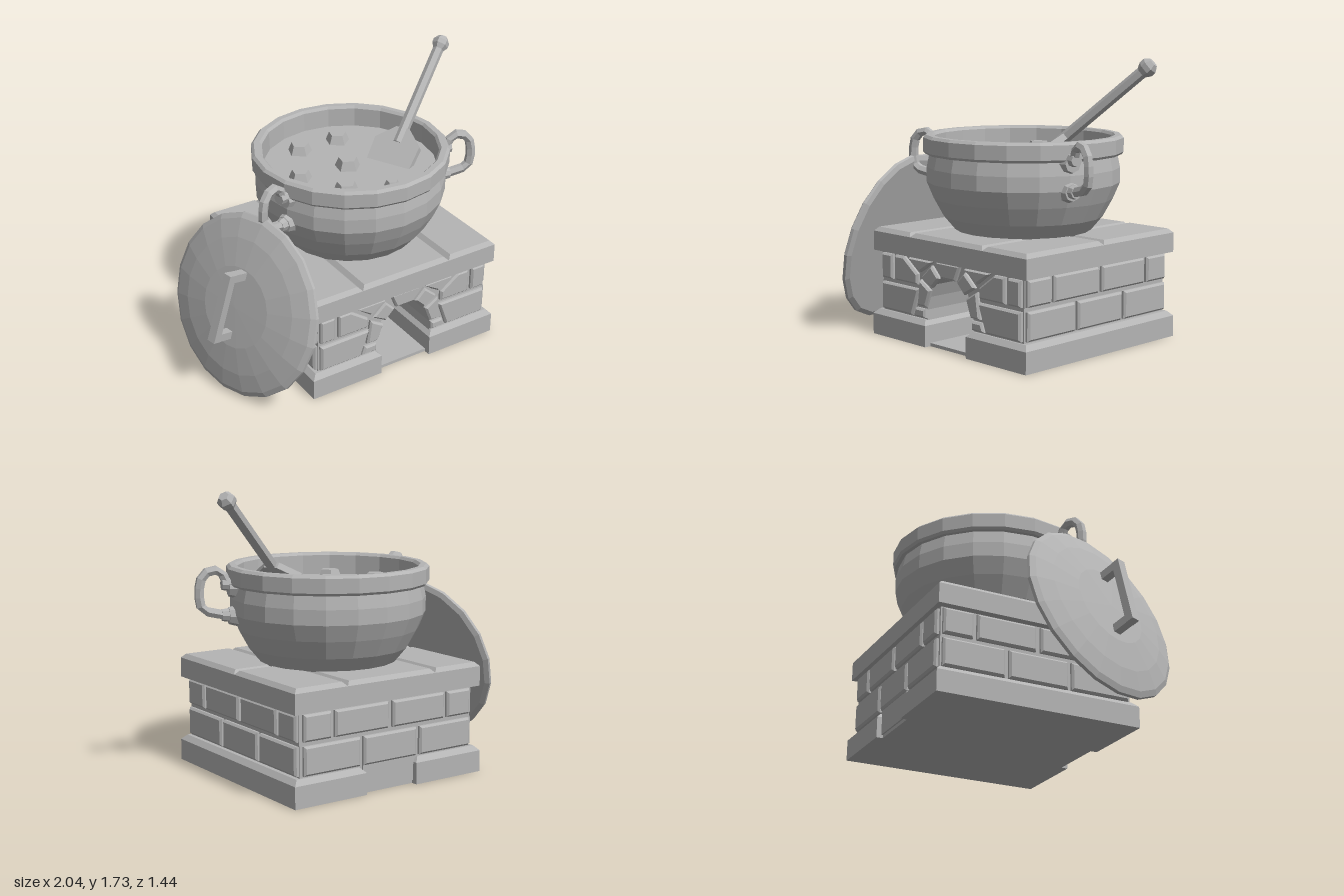
import * as THREE from 'three';

const CX = 0.155, CZ = -0.075; // axis of the oven and pot

export function createModel() {
  const model = new THREE.Group();
  const grey = new THREE.MeshStandardMaterial({ color: 0xb4b4b4 });
  grey.name = 'stone grey';

  // every part is faceted: split faces so each has its own normal
  function add(parent, name, geometry, x = 0, y = 0, z = 0) {
    const g = geometry.index ? geometry.toNonIndexed() : geometry;
    g.computeVertexNormals();
    const mesh = new THREE.Mesh(g, grey);
    mesh.name = name;
    mesh.position.set(x, y, z);
    parent.add(mesh);
    return mesh;
  }
  function group(parent, name, x = 0, y = 0, z = 0) {
    const g = new THREE.Group();
    g.name = name;
    g.position.set(x, y, z);
    parent.add(g);
    return g;
  }
  // block given by its extents, chamfered around the top
  function block(name, x0, x1, y0, y1, z0, z1, c = 0) {
    const w = x1 - x0, h = y1 - y0, d = z1 - z0;
    const geo = new THREE.BoxGeometry(w, h, d, 1, 2, 1);
    const p = geo.attributes.position;
    for (let i = 0; i < p.count; i++) {
      if (Math.abs(p.getY(i)) < 1e-6) p.setY(i, h / 2 - c);
      else if (p.getY(i) > 0) {
        p.setX(i, p.getX(i) - Math.sign(p.getX(i)) * c);
        p.setZ(i, p.getZ(i) - Math.sign(p.getZ(i)) * c);
      }
    }
    return add(model, name, geo, (x0 + x1) / 2, (y0 + y1) / 2, (z0 + z1) / 2);
  }
  const shapeOf = pts => new THREE.Shape(pts.map(p => new THREE.Vector2(p[0], p[1])));
  // bevelled stone standing out of a wall
  function stone(parent, name, pts) {
    add(parent, name, new THREE.ExtrudeGeometry(shapeOf(pts), {
      depth: 0.014, bevelEnabled: true, bevelThickness: 0.012,
      bevelSize: 0.012, bevelOffset: -0.012, bevelSegments: 1,
    }));
  }
  const rect = (a, b, c, d) => [[a, c], [b, c], [b, d], [a, d]];

  // footing and floor
  block('leftFooting', 0.335, 0.825, 0, 0.16, -0.72, 0.572, 0.03);
  block('rightFooting', -0.515, -0.025, 0, 0.16, -0.72, 0.572, 0.03);
  block('hearthFloor', -0.03, 0.34, 0, 0.02, -0.68, 0.53);

  // oven body with arched fire chamber
  const half = [[0.615, 0.1], [0.615, 0.54]];
  const arch = [[0.085, 0.43], [0.15, 0.38], [0.185, 0.3], [0.205, 0.22], [0.205, 0.1]];
  const flip = pts => pts.map(([x, y]) => [-x, y]).reverse();
  const outline = [...half, ...flip(half), ...flip(arch), ...arch];
  add(model, 'ovenBody', new THREE.ExtrudeGeometry(shapeOf(outline),
    { depth: 0.98, bevelEnabled: false }), CX, 0, -0.45);
  block('ovenBack', CX - 0.615, CX + 0.615, 0.02, 0.54, -0.68, -0.44);

  // front masonry, mirrored about the arch
  const front = group(model, 'frontMasonry', CX, 0, 0.53);
  const frontStones = [
    rect(0.505, 0.605, 0.365, 0.52),
    [[0.27, 0.365], [0.48, 0.365], [0.48, 0.52], [0.395, 0.52], [0.27, 0.43]],
    [[0.2, 0.475], [0.25, 0.445], [0.355, 0.52], [0.14, 0.52]],
    [[0.32, 0.17], [0.605, 0.17], [0.605, 0.34], [0.26, 0.34]],
    [[0.075, 0.43], [0.14, 0.365], [0.235, 0.42], [0.145, 0.5]],
    [[0.155, 0.345], [0.195, 0.24], [0.275, 0.24], [0.25, 0.4]],
    [[0.205, 0.17], [0.31, 0.17], [0.29, 0.225], [0.205, 0.225]],
  ];
  for (const pts of frontStones) {
    stone(front, 'frontStone', pts);
    stone(front, 'frontStone', flip(pts));
  }
  stone(front, 'keystone', [[-0.065, 0.435], [0.065, 0.435], [0.105, 0.53], [-0.105, 0.53]]);

  // brick courses on the sides and back
  const lower = [[-0.595, -0.21], [-0.185, 0.195], [0.22, 0.6]];
  const upper = [[-0.595, -0.41], [-0.385, -0.01], [0.02, 0.4], [0.425, 0.6]];
  const faces = [['leftBricks', 0.77, CZ, Math.PI / 2], ['rightBricks', -0.46, CZ, -Math.PI / 2],
    ['backBricks', CX, -0.68, Math.PI]];
  for (const [name, x, z, turn] of faces) {
    const wall = group(model, name, x, 0, z);
    wall.rotation.y = turn;
    for (const [a, b] of lower) stone(wall, 'brick', rect(a, b, 0.17, 0.34));
    for (const [a, b] of upper) stone(wall, 'brick', rect(a, b, 0.365, 0.52));
  }
  block('backFooting', -0.03, 0.34, 0.02, 0.17, -0.69, -0.45);

  // top slabs
  for (const [z0, z1] of [[-0.715, CZ], [CZ, 0.565]]) {
    block('topSlab', -0.51, -0.165, 0.53, 0.675, z0, z1, 0.025);
    block('topSlab', 0.465, 0.82, 0.53, 0.675, z0, z1, 0.025);
  }
  block('middleSlab', -0.165, 0.465, 0.53, 0.675, -0.715, 0.565, 0.025);

  // pot and soup
  const lathe = (pts, n) => new THREE.LatheGeometry(pts.map(p => new THREE.Vector2(p[0], p[1])), n);
  const pot = group(model, 'pot', CX, 0, CZ);
  add(pot, 'potBody', lathe([[0, 0.67], [0.415, 0.67], [0.49, 0.76], [0.55, 0.87], [0.592, 0.97],
    [0.592, 1.06], [0.575, 1.14], [0.6, 1.14], [0.612, 1.155], [0.612, 1.24], [0.595, 1.256],
    [0.56, 1.256], [0.545, 1.24], [0.54, 1.08]], 20));
  add(pot, 'soup', new THREE.CylinderGeometry(0.545, 0.545, 0.04, 20), 0, 1.1, 0);

  // chunks floating in the soup
  const chunks = [[-0.02, -0.385, 0.08], [0.26, -0.385, 0.08], [-0.2, -0.08, 0.075], [0.125, -0.055, 0.083],
    [-0.05, 0.2, 0.08], [0.22, 0.29, 0.05], [0.55, -0.18, 0.055]];
  chunks.forEach(([x, z, r], i) => {
    add(model, 'soupChunk', new THREE.CylinderGeometry(r * 0.7, r, r * 0.75, 5),
      x, 1.12 + r * 0.33, z).rotation.y = i * 1.3;
  });

  // pot handles with mounts
  const handlePath = new THREE.CatmullRomCurve3([[0.58, 1.13], [0.63, 1.17], [0.655, 1.225], [0.705, 1.24],
    [0.765, 1.21], [0.79, 1.11], [0.77, 1.01], [0.7, 0.985], [0.58, 0.96]]
    .map(([r, y]) => new THREE.Vector3(r, y, 0)));
  for (const [name, turn] of [['leftHandle', -0.305], ['rightHandle', Math.PI + 0.305]]) {
    const handle = group(pot, name);
    handle.rotation.y = turn;
    add(handle, 'handleRing', new THREE.TubeGeometry(handlePath, 12, 0.03, 6));
    for (const y of [1.13, 0.965]) {
      add(handle, 'handleMount', new THREE.CylinderGeometry(0.05, 0.065, 0.05, 8), 0.59, y, 0).rotation.z = -Math.PI / 2;
      add(handle, 'handleCollar', new THREE.CylinderGeometry(0.035, 0.043, 0.05, 8), 0.63, y + (y > 1 ? 0.025 : 0.005), 0)
        .rotation.z = -Math.PI / 2;
    }
  }

  // orient a group so local y and z follow two perpendicular directions
  function orient(g, yDir, zDir) {
    const xDir = new THREE.Vector3().crossVectors(yDir, zDir).normalize();
    const z = new THREE.Vector3().crossVectors(xDir, yDir);
    g.quaternion.setFromRotationMatrix(new THREE.Matrix4().makeBasis(xDir, yDir, z));
  }

  // wooden paddle resting in the soup
  const paddle = group(model, 'paddle', 0.5, 1.23, -0.03);
  const along = new THREE.Vector3(0.47, 0.45, -0.24).normalize();
  orient(paddle, along, new THREE.Vector3(-0.4, 0.62, 0.2));
  add(paddle, 'paddleShaft', new THREE.CylinderGeometry(0.035, 0.035, 0.72, 6), 0, 0.32, 0);
  add(paddle, 'paddleKnob', lathe([[0, 0.64], [0.035, 0.64], [0.053, 0.67], [0.053, 0.7], [0.03, 0.73], [0, 0.73]], 6));
  add(paddle, 'paddleBlade', new THREE.ExtrudeGeometry(shapeOf([[-0.14, -0.4], [0.14, -0.4], [0.155, -0.04],
    [0.045, 0.06], [-0.045, 0.06], [-0.155, -0.04]]), { depth: 0.04, bevelEnabled: false }), 0, 0, -0.02);

  // lid leaning against the oven
  const lid = group(model, 'lid', -0.75, 0.546, 0.18);
  orient(lid, new THREE.Vector3(-0.92, 0.28, 0.28).normalize(), new THREE.Vector3(0.29, 0.95, 0));
  add(lid, 'lidDisc', lathe([[0, -0.025], [0.53, -0.025], [0.56, -0.01], [0.56, 0.01], [0.53, 0.03],
    [0.42, 0.06], [0.25, 0.085], [0, 0.09]], 20));
  add(lid, 'lidGrip', new THREE.BoxGeometry(0.055, 0.05, 0.44), 0, 0.205, 0.02);
  for (const z of [-0.175, 0.215]) add(lid, 'lidGripPost', new THREE.BoxGeometry(0.05, 0.14, 0.05), 0, 0.125, z);

  return model;
}
